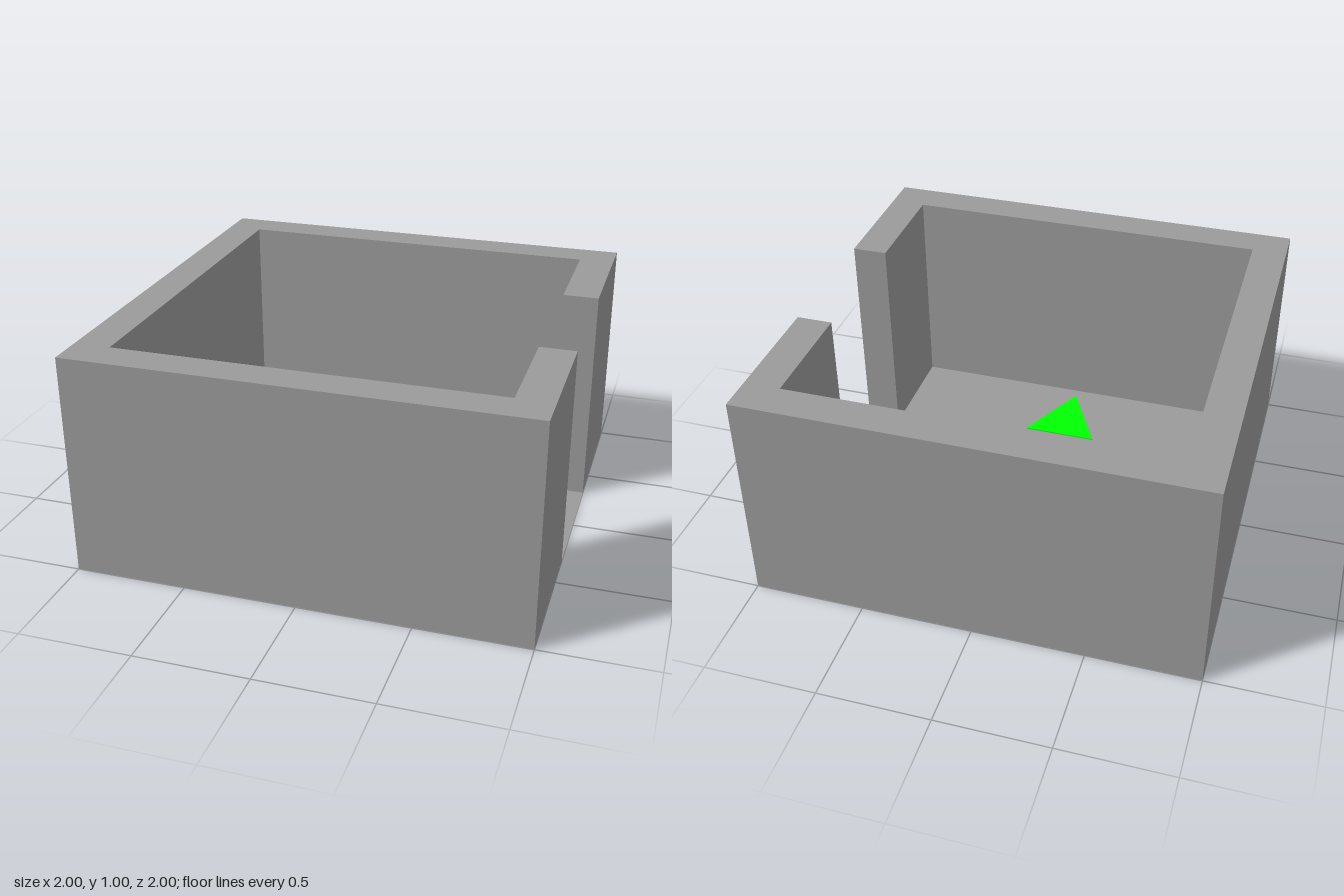
import * as THREE from 'three';

const OUTER = 1, INNER = 0.84, GAP = 0.32, HEIGHT = 1, LIFT = 0.001;

// Upright prism over a ground outline given as [x, z] corners
function prism(points, height) {
  const shape = new THREE.Shape(points.map(([x, z]) => new THREE.Vector2(x, -z)));
  return new THREE.ExtrudeGeometry(shape, { depth: height, bevelEnabled: false }).rotateX(-Math.PI / 2);
}

function addPart(group, name, geometry, material, y) {
  const mesh = new THREE.Mesh(geometry, material);
  mesh.name = name;
  mesh.position.y = y;
  group.add(mesh);
}

export function createModel() {
  const group = new THREE.Group();
  group.name = 'openRoom';
  const grey = new THREE.MeshStandardMaterial({ color: 0x9b9b9b, side: THREE.DoubleSide });
  const green = new THREE.MeshStandardMaterial({ color: 0x00ff00 });

  // Floor sheet, seen from above and below
  const floor = new THREE.PlaneGeometry(2 * OUTER, 2 * OUTER).rotateX(-Math.PI / 2);
  addPart(group, 'floor', floor, grey, 0);

  // Walls in one C-shaped run, with the doorway on the +x side
  const walls = prism([
    [OUTER, GAP], [OUTER, OUTER], [-OUTER, OUTER], [-OUTER, -OUTER], [OUTER, -OUTER], [OUTER, -GAP],
    [INNER, -GAP], [INNER, -INNER], [-INNER, -INNER], [-INNER, INNER], [INNER, INNER], [INNER, GAP],
  ], HEIGHT - LIFT);
  addPart(group, 'walls', walls, grey, LIFT);

  // Thin arrow marker on the floor, pointing to the front
  const arrow = prism([[-0.175, 0.44], [0, 0.785], [0.175, 0.44]], 0.006);
  addPart(group, 'frontArrow', arrow, green, LIFT);

  return group;
}
